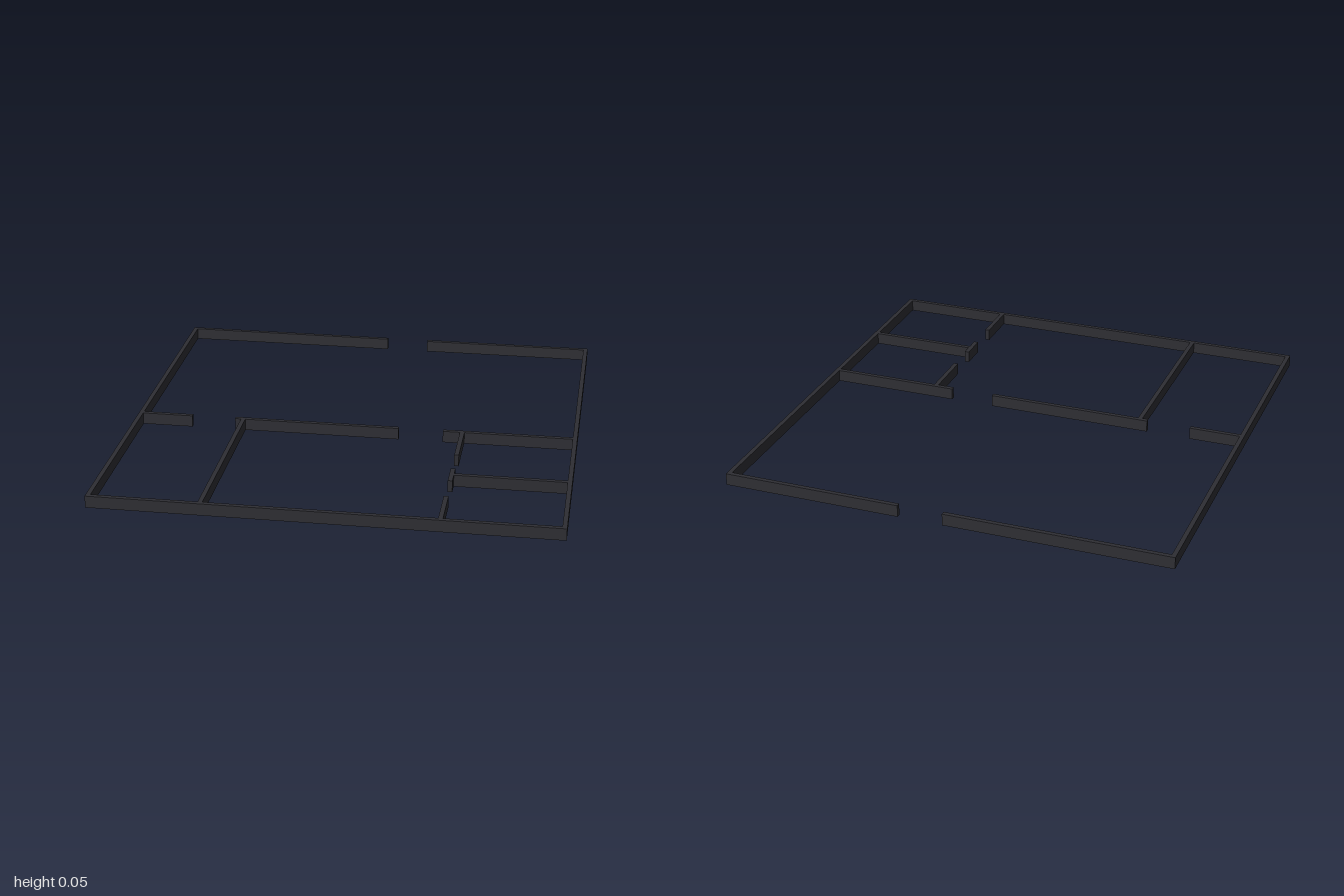
import * as THREE from 'three';

const HEIGHT = 0.053;
const THICK = 0.02;

export function createModel() {
  const model = new THREE.Group();
  model.name = 'floorPlanWalls';
  const material = new THREE.MeshStandardMaterial({ color: 0x2e2e33 });

  // One straight wall panel, given by its extents on the ground
  function panel(name, x0, x1, z0, z1) {
    const mesh = new THREE.Mesh(new THREE.BoxGeometry(x1 - x0, HEIGHT, z1 - z0), material);
    mesh.position.set((x0 + x1) / 2, HEIGHT / 2, (z0 + z1) / 2);
    mesh.name = name;
    model.add(mesh);
  }

  // A wall line split into spans, leaving doorways between them
  const h = THICK / 2;
  const wallAlongX = (name, z, spans) =>
    spans.forEach(([a, b], i) => panel(name + (i + 1), a, b, z - h, z + h));
  const wallAlongZ = (name, x, spans) =>
    spans.forEach(([a, b], i) => panel(name + (i + 1), x - h, x + h, a, b));

  // Outer walls, with the entrance in the back
  wallAlongX('backWall', -1 + h, [[-1, 0], [0.2, 1]]);
  wallAlongX('frontWall', 1 - h, [[-1, 1]]);
  wallAlongZ('rightWall', -1 + h, [[-1 + THICK, 1 - THICK]]);
  wallAlongZ('leftWall', 1 - h, [[-1 + THICK, 1 - THICK]]);

  // Cross wall with two doorways
  const crossZ = 0.105;
  wallAlongX('crossWall', crossZ, [[-1 + THICK, -0.75], [-0.55, 0.2], [0.4, 1 - THICK]]);

  // Room partitions
  wallAlongZ('rightPartition', -0.513, [[crossZ + h, 1 - THICK]]);
  wallAlongZ('leftPartition', 0.487, [[crossZ + h, 0.36], [0.5, 0.623], [0.773, 1 - THICK]]);
  wallAlongX('smallRoomDivider', 0.556, [[0.487 + h, 1 - THICK]]);

  return model;
}
